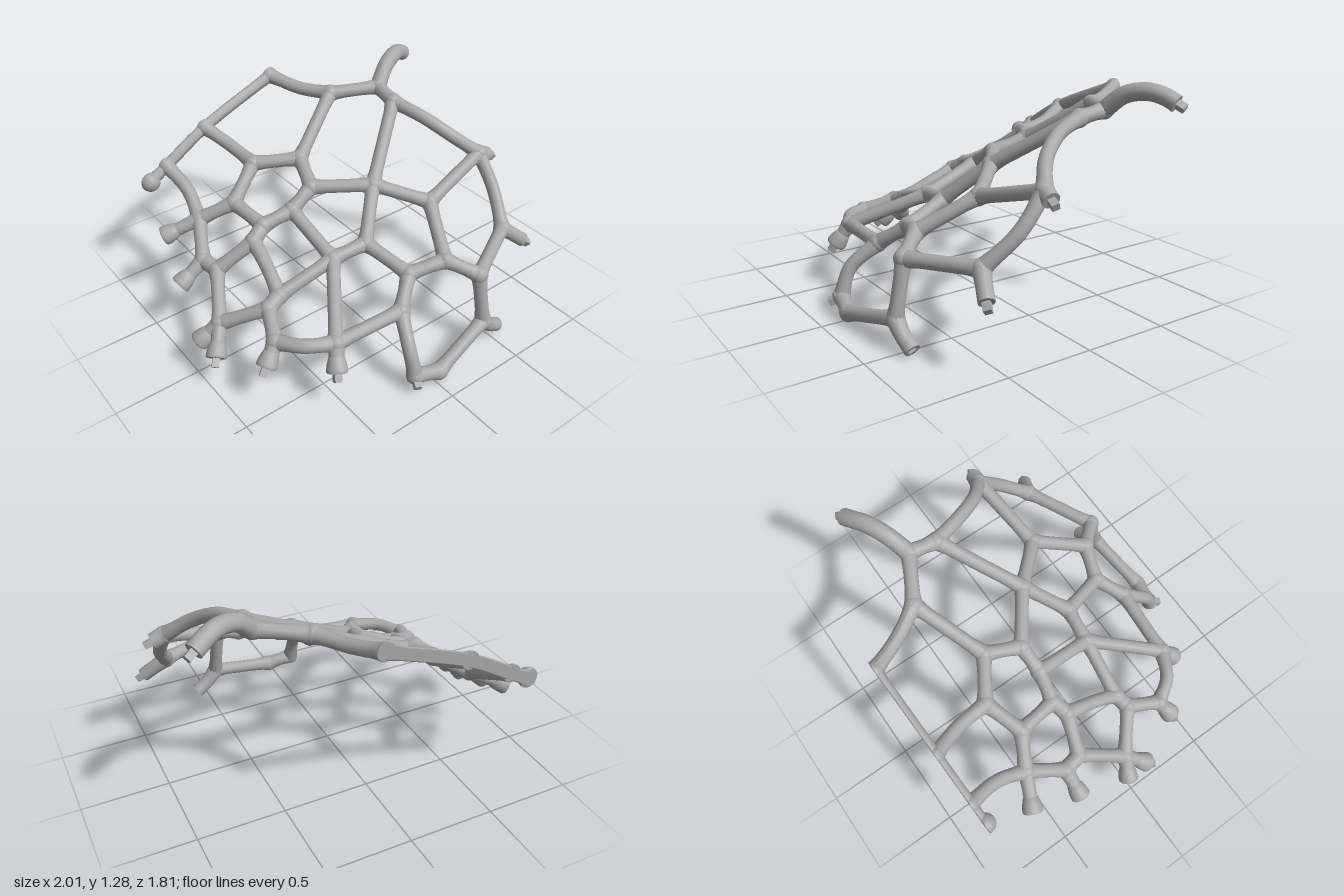
import * as THREE from 'three';

const steel = new THREE.MeshStandardMaterial({ color: 0xa8a8a8 });
steel.name = 'plain grey';
steel.side = THREE.DoubleSide;

const V = (a) => new THREE.Vector3(...a);
const R = 0.039, JOINT = 0.051;

// Junctions of the net
const nodes = {
  backHigh: [0.14, 1.14, -0.9], backMid: [-0.35, 0.95, -0.885], backLow: [-0.63, 0.79, -0.875],
  a: [-0.63, 0.6, -0.52], c: [-0.45, 0.69, -0.42], d: [-0.25, 0.84, -0.51], e: [-0.02, 0.86, -0.36],
  f: [0.34, 1.1, -0.54], g: [0.6, 1.12, -0.4], g2: [0.585, 1.09, -0.24],
  h: [-0.085, 0.79, -0.16], i: [-0.41, 0.65, -0.18], j: [-0.235, 0.7, -0.145], l: [-0.5, 0.6, -0.145],
  m: [-0.71, 0.46, -0.21], n: [-0.735, 0.47, -0.32], p: [-0.85, 0.31, 0.03], q: [-0.64, 0.42, 0.2],
  r: [-0.55, 0.45, 0.175], k: [-0.21, 0.56, 0.21], s: [-0.72, 0.36, 0.38], t: [-0.48, 0.37, 0.59],
  u: [-0.06, 0.385, 0.62], v: [0.085, 0.5, 0.51], w: [0, 0.585, 0.235], x: [0.2, 0.8, 0.05],
  y: [0.88, 0.84, 0.215], z: [0.43, 0.715, 0.285], aa: [0.29, 0.54, 0.58], bb: [0.42, 0.465, 0.725],
  cc: [0.81, 0.495, 0.525], dd: [0.43, 0.16, 0.785], ee: [0.03, 0.06, 0.855], ff: [-0.12, 0.095, 0.825],
};

// Struts: two junctions and optional points between
const struts = [
  ['a', 'backLow', [-0.6, 0.7, -0.69]], ['d', 'backMid', [-0.28, 0.88, -0.7]], ['f', 'backHigh', [0.235, 1.1, -0.71]],
  ['a', 'c'], ['c', 'd'], ['d', 'e'], ['e', 'f'], ['f', 'g'], ['g', 'g2'], ['c', 'i'], ['e', 'h'],
  ['h', 'j'], ['j', 'i'], ['i', 'l'], ['l', 'm'], ['m', 'n'], ['n', 'a'], ['m', 'p'], ['p', 'q'],
  ['l', 'r', [-0.52, 0.53, 0.02]], ['q', 'r'], ['r', 'k'], ['j', 'k'], ['q', 's'], ['s', 't', [-0.63, 0.375, 0.51]],
  ['t', 'k'], ['t', 'u'], ['u', 'v'], ['v', 'w'], ['w', 'k'], ['w', 'x'], ['x', 'h'], ['x', 'g2'], ['x', 'z'],
  ['g2', 'y', [0.66, 1.04, -0.04], [0.755, 0.95, 0.11]], ['z', 'y'], ['z', 'aa'], ['aa', 'v'], ['aa', 'bb'],
  ['bb', 'cc'], ['cc', 'y', [0.88, 0.66, 0.36]], ['bb', 'dd'], ['dd', 'ee'], ['ee', 'ff'], ['ff', 'u', [-0.12, 0.25, 0.765]],
];

// Everything behind the sloping back plane is pressed flat onto it
function trimBack(geo) {
  const p = geo.attributes.position;
  let cut = false;
  for (let i = 0; i < p.count; i++) {
    const limit = -0.895 - 0.031 * p.getX(i);
    if (p.getZ(i) < limit) { p.setZ(i, limit); cut = true; }
  }
  if (cut) geo.computeVertexNormals();
  return geo;
}

function add(group, name, geo) {
  const mesh = new THREE.Mesh(trimBack(geo), steel);
  mesh.name = name;
  group.add(mesh);
  return mesh;
}

// Round strut that widens towards the junctions
function strut(points, r = R, flareStart = JOINT, flareEnd = JOINT) {
  const path = new THREE.CatmullRomCurve3(points.map(V), false, 'centripetal');
  const n = 24, sides = 14, length = path.getLength();
  const geo = new THREE.TubeGeometry(path, n, 1, sides, false);
  const p = geo.attributes.position, v = new THREE.Vector3();
  const fade = (d) => Math.pow(Math.max(0, 1 - d / 0.11), 2);
  for (let i = 0; i <= n; i++) {
    const at = path.getPointAt(i / n), d = (i / n) * length;
    const size = r + (flareStart - r) * fade(d) + (flareEnd - r) * fade(length - d);
    for (let j = 0; j <= sides; j++) {
      const id = i * (sides + 1) + j;
      v.fromBufferAttribute(p, id).sub(at).multiplyScalar(size).add(at);
      p.setXYZ(id, v.x, v.y, v.z);
    }
  }
  return geo;
}

function ball(at, r) {
  return new THREE.SphereGeometry(r, 18, 12).translate(...at);
}

// Flat end with a square socket or a square peg, built along +z
function endFitting(group, at, dir, r, peg) {
  const fitting = new THREE.Group();
  fitting.name = peg ? 'pegEnd' : 'socketEnd';
  const face = new THREE.Shape().absarc(0, 0, r, 0, Math.PI * 2);
  if (!peg) {
    const s = 0.02;
    face.holes.push(new THREE.Path([[-s, -s], [-s, s], [s, s], [s, -s]].map((c) => new THREE.Vector2(...c))));
  }
  const depth = 0.012;
  add(fitting, 'endFace', new THREE.ExtrudeGeometry(face, { depth, bevelEnabled: false, curveSegments: 10 }).translate(0, 0, -depth));
  if (peg) add(fitting, 'peg', new THREE.BoxGeometry(0.04, 0.04, 0.06).translate(0, 0, 0.02));
  else add(fitting, 'socketFloor', new THREE.CircleGeometry(r * 0.9, 16).translate(0, 0, -0.03));
  fitting.position.copy(at);
  fitting.quaternion.setFromUnitVectors(new THREE.Vector3(0, 0, 1), dir);
  group.add(fitting);
  return fitting;
}

// Bell-shaped foot at the end of a short stem
function foot(group, from, end, peg) {
  const a = V(from), b = V(end), dir = b.clone().sub(a).normalize();
  const neck = b.clone().addScaledVector(dir, -0.06);
  add(group, 'footStem', strut([from, neck.toArray()], R, JOINT, R));
  const fitting = endFitting(group, b, dir, 0.054, peg);
  const profile = [[0.03, -0.1], [0.043, -0.085], [0.052, -0.055], [0.058, -0.02], [0.058, -0.006], [0.054, 0]];
  const bell = new THREE.LatheGeometry(profile.map((c) => new THREE.Vector2(...c)), 18);
  add(fitting, 'footBell', bell.rotateX(Math.PI / 2));
}

// Arm with a flat end
function arm(group, points, r, peg) {
  const b = V(points[points.length - 1]);
  const dir = b.clone().sub(V(points[points.length - 2])).normalize();
  add(group, 'arm', strut(points, r, JOINT, r));
  endFitting(group, b, dir, r, peg);
}

export function createModel() {
  const model = new THREE.Group();
  model.name = 'branchingNet';

  for (const [from, to, ...mid] of struts)
    add(model, 'strut', strut([nodes[from], ...mid, nodes[to]]));
  for (const key in nodes) {
    const small = ['ee', 'ff', 'dd'].includes(key);
    add(model, 'junction', ball(nodes[key], small ? 0.05 : JOINT + 0.001));
  }

  // Half-round bar along the flat back
  const { backLow, backMid, backHigh } = nodes;
  add(model, 'backBar', strut([[-0.77, 0.71, -0.87], backLow, backMid, backHigh], 0.038, 0.05, 0.045));
  add(model, 'backBarEnd', ball([-0.75, 0.725, -0.862], 0.058));

  // Feet on the low side
  foot(model, nodes.a, [-0.825, 0.51, -0.61], false);
  foot(model, nodes.n, [-0.895, 0.365, -0.325], false);
  foot(model, nodes.p, [-0.965, 0.205, -0.015], false);
  foot(model, nodes.p, [-0.95, 0.19, 0.14], true);
  foot(model, nodes.s, [-0.81, 0.26, 0.42], true);
  foot(model, nodes.t, [-0.53, 0.245, 0.665], true);

  // Arms on the high side and front
  arm(model, [nodes.g, [0.7, 1.21, -0.45], [0.81, 1.235, -0.505], [0.89, 1.215, -0.55], [0.945, 1.185, -0.575]], 0.048, true);
  arm(model, [nodes.y, [0.945, 0.81, 0.225]], 0.046, true);
  arm(model, [nodes.cc, [0.94, 0.385, 0.585]], 0.042, true);
  arm(model, [nodes.dd, [0.49, 0.095, 0.78], [0.57, 0.04, 0.77]], 0.042, false);
  arm(model, [nodes.ff, [-0.13, 0.085, 0.845]], 0.04, true);
  return model;
}
